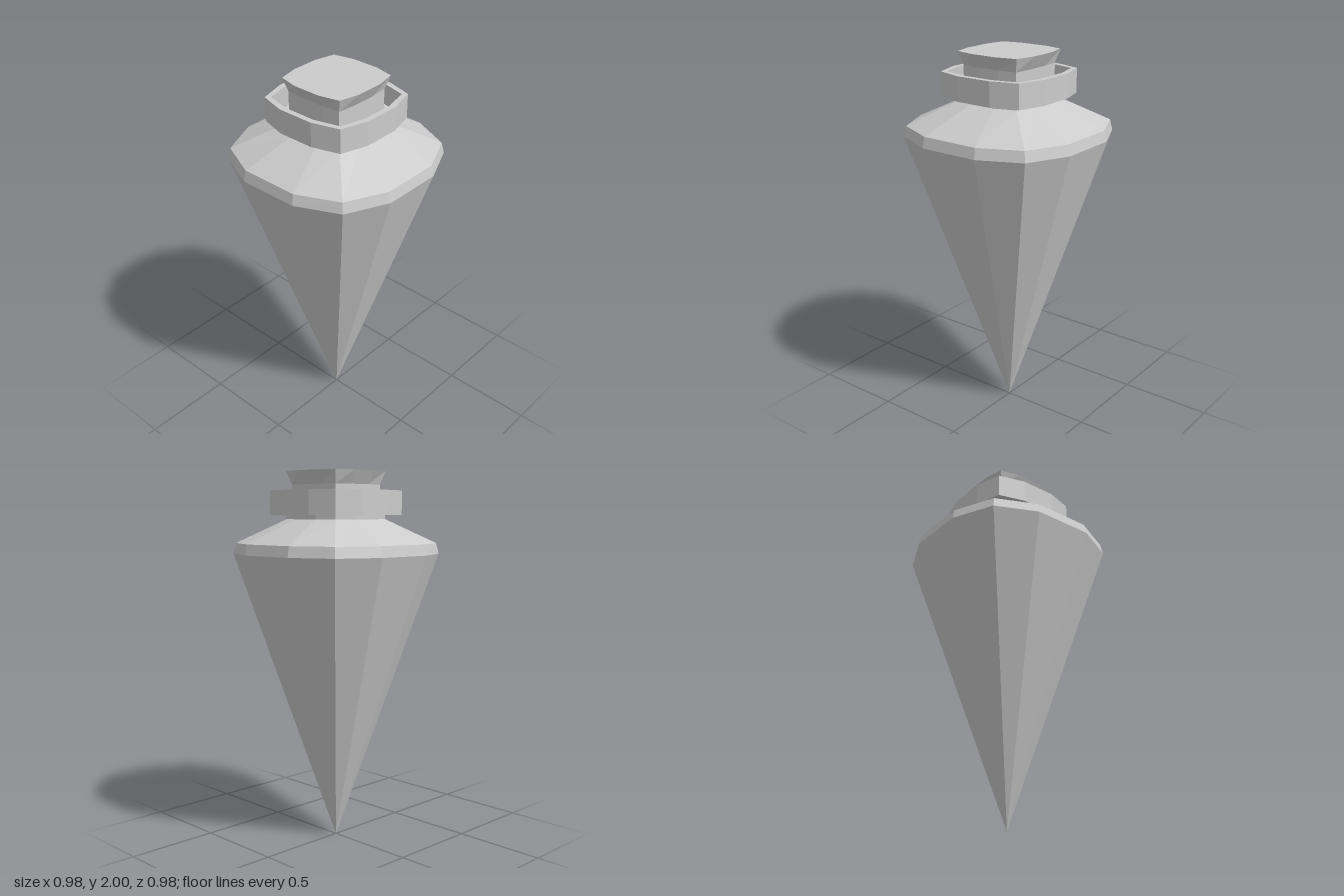
import * as THREE from 'three';

// Twelve-sided section: half-width w, half-length b of each flat side, diagonal corners at (c, c)
function section([y, w, b, c]) {
  const points = [];
  for (let q = 0; q < 4; q++) {
    const cos = [1, 0, -1, 0][q], sin = [0, 1, 0, -1][q];
    for (const [x, z] of [[w, -b], [w, b], [c, c]]) {
      points.push([x * cos - z * sin, y, x * sin + z * cos]);
    }
  }
  return points;
}

// Skins consecutive sections; a section of zero width closes to a point
function loft(name, profile, material) {
  const rings = profile.map(section);
  const positions = [];
  for (let i = 0; i < rings.length - 1; i++) {
    const low = rings[i], high = rings[i + 1];
    for (let k = 0; k < 12; k++) {
      const n = (k + 1) % 12;
      if (profile[i][1] > 0) positions.push(...low[k], ...high[k], ...low[n]);
      if (profile[i + 1][1] > 0) positions.push(...low[n], ...high[k], ...high[n]);
    }
  }
  const geometry = new THREE.BufferGeometry();
  geometry.setAttribute('position', new THREE.Float32BufferAttribute(positions, 3));
  geometry.computeVertexNormals();
  const mesh = new THREE.Mesh(geometry, material);
  mesh.name = name;
  return mesh;
}

export function createModel() {
  const model = new THREE.Group();
  model.name = 'pointedFlask';
  const material = new THREE.MeshStandardMaterial({ color: 0xcccccc, flatShading: true });

  // Long pointed body with bevelled rim, sloping shoulder and short neck
  model.add(loft('body', [
    [0, 0, 0, 0],
    [1.568, 0.49, 0.165, 0.388],
    [1.624, 0.477, 0.16, 0.378],
    [1.75, 0.22, 0.075, 0.185],
    [1.78, 0.22, 0.075, 0.185],
  ], material));

  // Hollow collar: underside, outer wall, lip, inner wall and floor
  model.add(loft('collar', [
    [1.772, 0.2, 0.07, 0.17],
    [1.772, 0.29, 0.1, 0.247],
    [1.9, 0.29, 0.1, 0.247],
    [1.9, 0.26, 0.09, 0.225],
    [1.79, 0.26, 0.09, 0.225],
    [1.79, 0, 0, 0],
  ], material));

  // Stopper that flares out towards its flat top
  model.add(loft('stopper', [
    [1.78, 0.175, 0.062, 0.165],
    [1.93, 0.175, 0.062, 0.165],
    [2, 0.21, 0.075, 0.185],
    [2, 0, 0, 0],
  ], material));

  return model;
}
